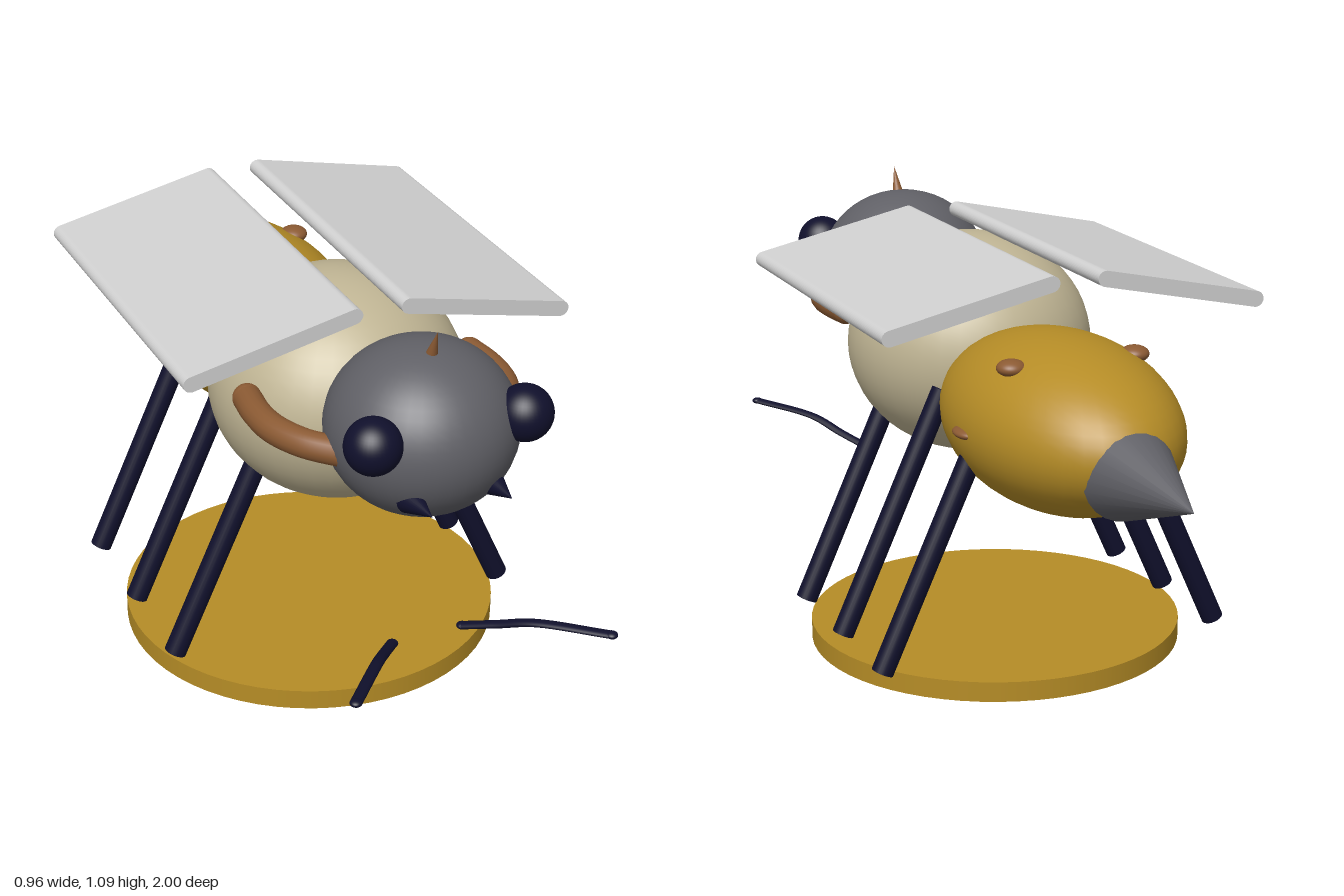
import * as THREE from 'three';

const mat = (name, color) => {
  const m = new THREE.MeshStandardMaterial({ color });
  m.name = name;
  return m;
};
const V = (x, y, z) => new THREE.Vector3(x, y, z);

export function createModel() {
  const gold = mat('gold', 0xb58c26);
  const cream = mat('cream', 0xc0b594);
  const grey = mat('charcoal grey', 0x606066);
  const navy = mat('dark navy', 0x10102c);
  const brown = mat('brown', 0x8b5a33);
  const silver = mat('wing silver', 0xd0d0d0);

  const model = new THREE.Group();
  model.name = 'bee';
  const add = (name, geometry, material, x = 0, y = 0, z = 0) => {
    const mesh = new THREE.Mesh(geometry, material);
    mesh.name = name;
    mesh.position.set(x, y, z);
    model.add(mesh);
    return mesh;
  };
  const ellipsoid = (name, material, x, y, z, rx, ry, rz) => {
    const mesh = add(name, new THREE.SphereGeometry(1, 40, 28), material, x, y, z);
    mesh.scale.set(rx, ry, rz);
    return mesh;
  };
  // Cylinder or cone running from a to b
  const rod = (name, material, a, b, ra, rb) => {
    const dir = b.clone().sub(a);
    const mesh = add(name, new THREE.CylinderGeometry(rb, ra, dir.length(), 24), material);
    mesh.position.copy(a).add(b).multiplyScalar(0.5);
    mesh.quaternion.setFromUnitVectors(V(0, 1, 0), dir.normalize());
    return mesh;
  };

  // Stand
  add('base', new THREE.CylinderGeometry(0.468, 0.468, 0.05, 64), gold, 0, 0.025, 0.04);

  // Body
  ellipsoid('thorax', cream, 0, 0.732, 0.2, 0.308, 0.277, 0.308);
  ellipsoid('head', grey, 0, 0.834, 0.646, 0.22, 0.2, 0.22);
  ellipsoid('abdomen', gold, 0, 0.667, -0.342, 0.255, 0.206, 0.412);
  rod('stinger', grey, V(0, 0.638, -0.695), V(0, 0.638, -1), 0.113, 0);
  rod('horn', brown, V(0, 1.0, 0.675), V(0, 1.09, 0.71), 0.019, 0);

  // Wing cross-section: a rounded bar, extruded along the body
  const wingLength = 0.42, r = 0.019, h = wingLength / 2 - r;
  const wingShape = new THREE.Shape();
  wingShape.moveTo(-h, -r);
  wingShape.lineTo(h, -r);
  wingShape.absarc(h, 0, r, -Math.PI / 2, Math.PI / 2, false);
  wingShape.lineTo(-h, r);
  wingShape.absarc(-h, 0, r, Math.PI / 2, Math.PI * 1.5, false);
  const wingGeo = new THREE.ExtrudeGeometry(wingShape, { depth: 0.88, bevelEnabled: false, curveSegments: 10 });
  wingGeo.translate(0, 0, -0.44);
  wingGeo.scale(1.055, 1, 1);

  for (const s of [1, -1]) {
    const side = s > 0 ? 'left' : 'right';

    const wing = add(side + 'Wing', wingGeo, silver, s * 0.265, 0.975, 0.002);
    wing.rotation.z = -s * 0.214;

    ellipsoid(side + 'Eye', navy, s * 0.183, 0.889, 0.78, 0.065, 0.065, 0.065);
    rod(side + 'Mandible', navy, V(s * 0.098, 0.742, 0.79), V(s * 0.096, 0.754, 0.895), 0.032, 0);

    // Legs slant outward from the body
    [0.23, -0.037, -0.305].forEach((z, i) => {
      rod(side + 'Leg' + (i + 1), navy, V(s * 0.442, 0.087, z), V(s * 0.172, 0.68, z), 0.027, 0.027);
    });

    // Curved arm from head to thorax, with round ends
    const armPoints = [[0.19, 0.645], [0.25, 0.575], [0.286, 0.49], [0.293, 0.41], [0.285, 0.33]]
      .map(([x, z]) => V(s * x, 0.805, z));
    add(side + 'Arm', new THREE.TubeGeometry(new THREE.CatmullRomCurve3(armPoints), 32, 0.034, 16), brown);
    for (const p of [armPoints[0], armPoints[4]]) {
      ellipsoid(side + 'ArmEnd', brown, p.x, p.y, p.z, 0.034, 0.034, 0.034);
    }

    // Flattened feeler
    const flat = 0.5;
    const feelerPoints = [[0.09, 0.311, 0.705], [0.145, 0.342, 0.775], [0.2, 0.376, 0.85], [0.315, 0.398, 0.988]]
      .map(([x, y, z]) => V(s * x, y / flat, z));
    const feelerCurve = new THREE.CatmullRomCurve3(feelerPoints);
    const feeler = add(side + 'Feeler', new THREE.TubeGeometry(feelerCurve, 32, 0.014, 10), navy);
    feeler.scale.y = flat;
    for (const p of [feelerPoints[0], feelerPoints[3]]) {
      ellipsoid(side + 'FeelerEnd', navy, p.x, p.y * flat, p.z, 0.014, 0.008, 0.014);
    }

    // Spots on the abdomen
    ellipsoid(side + 'UpperSpot', brown, s * 0.157, 0.826, -0.41, 0.035, 0.02, 0.035);
    ellipsoid(side + 'LowerSpot', brown, s * 0.24, 0.664, -0.342, 0.03, 0.014, 0.045);
  }
  return model;
}
